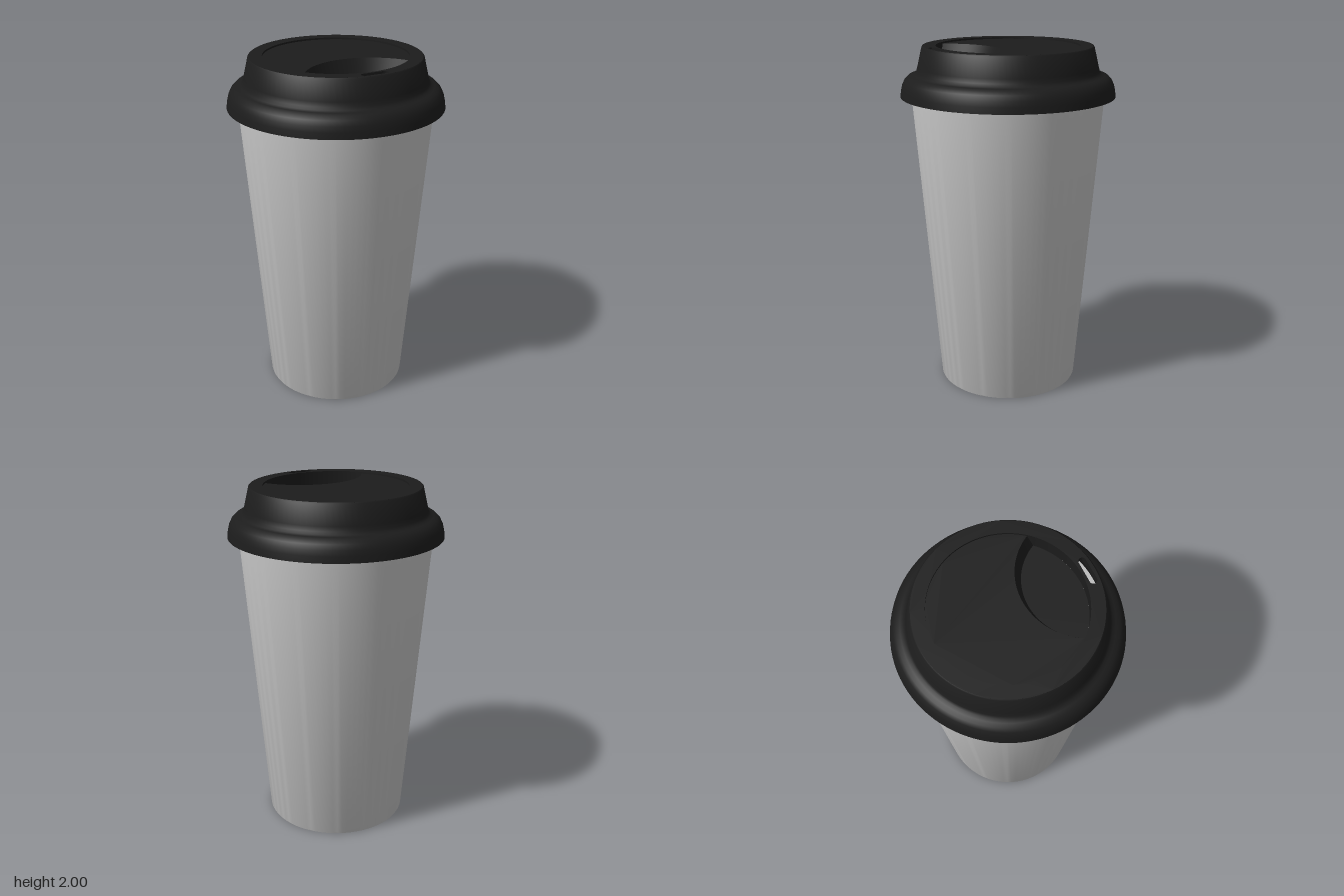
import * as THREE from 'three';
import { toCreasedNormals } from 'three/addons/utils/BufferGeometryUtils.js';

const SEG = 96;
const cupMaterial = new THREE.MeshStandardMaterial({ color: 0xcccccc });
const lidMaterial = new THREE.MeshStandardMaterial({ color: 0x1c1c1c, side: THREE.DoubleSide });

function addMesh(parent, name, geometry, material) {
  const mesh = new THREE.Mesh(geometry, material);
  mesh.name = name;
  parent.add(mesh);
  return mesh;
}

// Turned part from [radius, height] pairs, with sharp corners kept sharp
function turned(profile) {
  const points = profile.map(([r, y]) => new THREE.Vector2(r, y));
  return toCreasedNormals(new THREE.LatheGeometry(points, SEG), 0.6);
}

// Horizontal plate whose top lies at the given height
function plate(shape, top, depth) {
  const g = new THREE.ExtrudeGeometry(shape, { depth, bevelEnabled: false, curveSegments: 64 });
  g.rotateX(-Math.PI / 2).translate(0, top - depth, 0);
  return toCreasedNormals(g, 0.6);
}

export function createModel() {
  const model = new THREE.Group();
  model.name = 'takeawayCup';

  // Cup: raised base, foot, tapered wall, open inside
  const cup = new THREE.Group();
  cup.name = 'cup';
  model.add(cup);
  addMesh(cup, 'cupBody', turned([
    [0, 0.085], [0.397, 0.085], [0.4, 0.004], [0.403, 0], [0.407, 0], [0.41, 0.006],
    [0.55, 1.75], [0.535, 1.75], [0.4, 0.1], [0, 0.1],
  ]), cupMaterial);
  const rim = new THREE.TorusGeometry(0.56, 0.022, 12, SEG).rotateX(Math.PI / 2);
  addMesh(cup, 'cupRim', rim, cupMaterial).position.y = 1.757;

  // Lid, turned so that its drinking side lies along local +x
  const lid = new THREE.Group();
  lid.name = 'lid';
  lid.rotation.y = -THREE.MathUtils.degToRad(52);
  model.add(lid);

  // Skirt: underside first, then the rounded outer flange and sloping crown
  addMesh(lid, 'lidSkirt', turned([
    [0.455, 1.975], [0.48, 1.88], [0.5, 1.83], [0.565, 1.81], [0.588, 1.78], [0.596, 1.72],
    [0.61, 1.72], [0.605, 1.755], [0.598, 1.785], [0.585, 1.812], [0.567, 1.83], [0.545, 1.839],
    [0.527, 1.846], [0.517, 1.86], [0.51, 1.885], [0.484, 1.994], [0.478, 2],
  ]), lidMaterial);

  // Top ring with the drinking slot
  const R = 0.405, slotR = 0.44, half = 0.058, w = 0.02;
  const ring = new THREE.Shape().absarc(0, 0, 0.478, 0, Math.PI * 2);
  ring.holes.push(new THREE.Path().absarc(0, 0, R, 0, Math.PI * 2, true));
  const slot = new THREE.Path();
  slot.absarc(slotR, half, w, 0, Math.PI);
  slot.absarc(slotR, -half, w, Math.PI, Math.PI * 2);
  slot.closePath();
  ring.holes.push(slot);
  addMesh(lid, 'lidTopRing', plate(ring, 2, 0.03), lidMaterial);

  // Centre panel: a disc with a round bite taken out on the drinking side
  const c = 0.432, r = 0.355, panelTop = 1.99, floorY = 1.91;
  const hitX = (c * c + R * R - r * r) / (2 * c);
  const hitY = Math.sqrt(R * R - hitX * hitX);
  const outerAngle = Math.atan2(hitY, hitX);
  const biteAngle = Math.atan2(hitY, hitX - c);
  const panel = new THREE.Shape();
  panel.absarc(0, 0, R, outerAngle, Math.PI * 2 - outerAngle);
  panel.absarc(c, 0, r, Math.PI * 2 - biteAngle, biteAngle, true);
  addMesh(lid, 'lidCentrePanel', plate(panel, panelTop, 0.012), lidMaterial);

  // Recess: sloping curved wall, outer wall and floor
  const h = panelTop - floorY;
  const spread = Math.PI - biteAngle + 0.03;
  const slope = new THREE.CylinderGeometry(r, r - 0.033, h, 48, 1, true, Math.PI * 1.5 - spread, spread * 2);
  addMesh(lid, 'recessSlope', slope, lidMaterial).position.set(c, floorY + h / 2, 0);
  const wall = new THREE.CylinderGeometry(R, R, h, 48, 1, true, Math.PI / 2 - outerAngle, outerAngle * 2);
  addMesh(lid, 'recessOuterWall', wall, lidMaterial).position.y = floorY + h / 2;
  const floor = new THREE.CircleGeometry(R, SEG).rotateX(-Math.PI / 2);
  addMesh(lid, 'recessFloor', floor, lidMaterial).position.y = floorY;

  return model;
}
